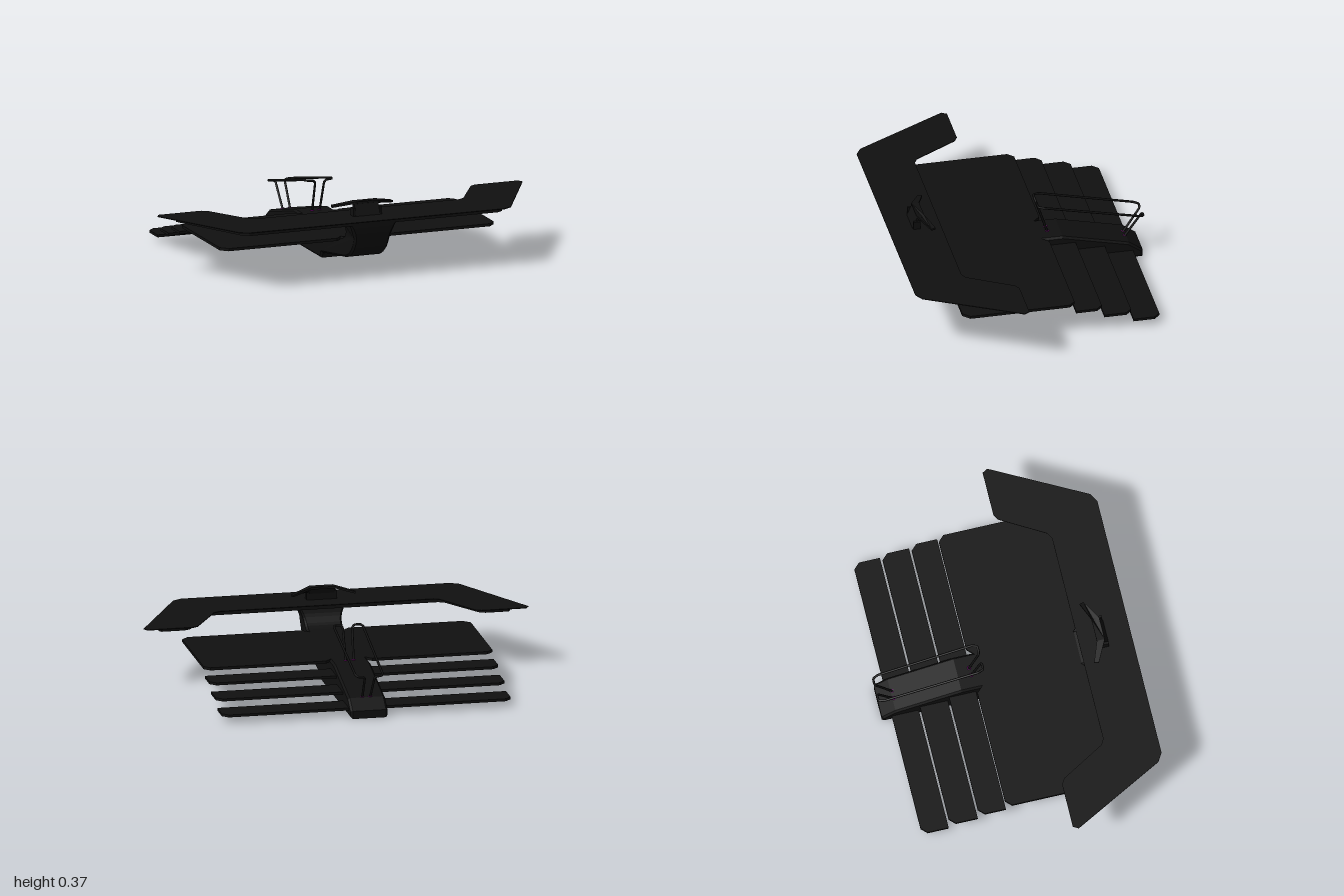
import * as THREE from 'three';

const black = new THREE.MeshStandardMaterial({ color: 0x101010, flatShading: true });
const wireBlack = new THREE.MeshStandardMaterial({ color: 0x101010 });
const purple = new THREE.MeshStandardMaterial({ color: 0x800080 });

// Polygon whose corners are cut: each point is [x, y, cut]
function cutShape(points) {
  const out = [];
  const n = points.length;
  points.forEach(([x, y, cut = 0], i) => {
    const p = new THREE.Vector2(x, y);
    if (!cut) { out.push(p); return; }
    for (const j of [(i + n - 1) % n, (i + 1) % n]) {
      const q = new THREE.Vector2(points[j][0], points[j][1]);
      out.push(p.clone().add(q.sub(p).setLength(cut)));
    }
  });
  return new THREE.Shape(out);
}

// Flat panel drawn in x/z, reaching down from height top
function panel(points, top, thickness) {
  const g = new THREE.ExtrudeGeometry(cutShape(points), { depth: thickness, bevelEnabled: false });
  return g.rotateX(Math.PI / 2).translate(0, top, 0);
}

// Side profile in z/y, extruded across x and centred
function sideExtrude(shape, halfWidth, bevel = 0) {
  const g = new THREE.ExtrudeGeometry(shape, {
    depth: 2 * (halfWidth - bevel), bevelEnabled: bevel > 0, bevelSegments: 1,
    bevelSize: bevel, bevelThickness: bevel, bevelOffset: -bevel, curveSegments: 10,
  });
  return g.rotateY(-Math.PI / 2).translate(halfWidth - bevel, 0, 0);
}

// Moves every vertex of a geometry by a rule
function bend(g, rule) {
  const p = g.attributes.position;
  const v = new THREE.Vector3();
  for (let i = 0; i < p.count; i++) {
    rule(v.fromBufferAttribute(p, i));
    p.setXYZ(i, v.x, v.y, v.z);
  }
  g.computeVertexNormals();
  return g;
}

const mirrorOutline = (half) => [
  ...half,
  ...half.slice().reverse().map(([x, z, cut]) => [-x, z, cut]),
];

export function createModel() {
  const model = new THREE.Group();
  const add = (name, geometry, material = black, parent = model) => {
    const mesh = new THREE.Mesh(geometry, material);
    mesh.name = name;
    parent.add(mesh);
    return mesh;
  };

  // Body: long keel, sloping tail and a neck that curves up to the front wing
  const body = new THREE.Shape();
  body.moveTo(-0.64, 0);
  body.lineTo(0.13, 0);
  body.lineTo(0.145, 0.03);
  body.lineTo(0.45, 0.077);
  body.bezierCurveTo(0.56, 0.097, 0.613, 0.18, 0.613, 0.295);
  body.lineTo(0.497, 0.295);
  body.bezierCurveTo(0.495, 0.22, 0.455, 0.175, 0.39, 0.17);
  body.lineTo(-0.23, 0.17);
  body.lineTo(-0.57, 0.09);
  body.lineTo(-0.64, 0.04);
  add('body', bend(sideExtrude(body, 0.095, 0.01), (v) => {
    const t = Math.max(0, (v.y - 0.18) / 0.115);
    v.x += Math.sign(v.x) * 0.045 * t * t;
  }));

  // Front wing: thin skin over a thicker inset core, notched at the rear
  add('frontWingSkin', panel(mirrorOutline([
    [0.72, 0.657, 0.03], [1.0, 0.133, 0.03], [0.72, 0.133, 0.02], [0.57, 0.39, 0.02],
  ]), 0.303, 0.004));
  add('frontWingCore', panel(mirrorOutline([
    [0.69, 0.612, 0.02], [0.91, 0.18, 0.02], [0.75, 0.18, 0.02], [0.6, 0.42, 0.02],
  ]), 0.3, 0.025));

  // Main wing panels and the stepped rear slats, on both sides of the body
  const slats = [[-0.157, -0.295, 0.13], [-0.302, -0.445, 0.088], [-0.452, -0.59, 0.045]];
  for (const s of [1, -1]) {
    const side = new THREE.Group();
    side.name = s > 0 ? 'leftWing' : 'rightWing';
    model.add(side);
    add('mainWing', panel([
      [s * 0.085, 0.42, 0.035], [s * 0.74, 0.42, 0.035],
      [s * 0.74, -0.155, 0.03], [s * 0.085, -0.155, 0.035],
    ], 0.17, 0.014), black, side);
    for (const [front, rear, y] of slats) {
      add('rearSlat', panel([
        [s * 0.08, front], [s * 0.74, front], [s * 0.74, rear, 0.03], [s * 0.08, rear],
      ], y, 0.013), black, side);
    }
  }

  // Small winglet on a leaning pylon above the front wing
  add('pylon', sideExtrude(cutShape([
    [0.537, 0.3], [0.51, 0.368], [0.485, 0.362], [0.497, 0.335], [0.497, 0.3],
  ]), 0.065));
  for (const s of [1, -1]) {
    const strut = new THREE.BoxGeometry(0.012, 0.045, 0.035);
    add('pylonStrut', strut.translate(s * 0.072, 0.322, 0.515));
  }
  add('winglet', bend(panel(mirrorOutline([
    [0.06, 0.515], [0.165, 0.46], [0.16, 0.437], [0.06, 0.475],
  ]), 0.373, 0.01), (v) => {
    v.y -= 0.23 * Math.max(0, Math.abs(v.x) - 0.06);
  }));

  // Bent wire rails over the tail, with coloured rings at the feet
  for (const s of [1, -1]) {
    const points = [
      [0.02, 0.16, -0.168], [0.024, 0.325, -0.115], [0.034, 0.338, -0.111],
      [0.064, 0.34, -0.112], [0.074, 0.338, -0.14], [0.07, 0.226, -0.625],
      [0.06, 0.22, -0.65], [0.035, 0.219, -0.651], [0.025, 0.21, -0.645],
      [0.02, 0.085, -0.56],
    ].map(([x, y, z]) => new THREE.Vector3(s * x, y, z));
    const path = new THREE.CurvePath();
    for (let i = 1; i < points.length; i++) {
      path.add(new THREE.LineCurve3(points[i - 1], points[i]));
    }
    add('wireRail', new THREE.TubeGeometry(path, 160, 0.006, 8), wireBlack);
    for (const [y, z] of [[0.172, -0.165], [0.092, -0.562]]) {
      const ring = new THREE.TorusGeometry(0.008, 0.002, 6, 16).rotateX(Math.PI / 2);
      add('railFoot', ring.translate(s * 0.02, y, z), purple);
    }
  }
  return model;
}
